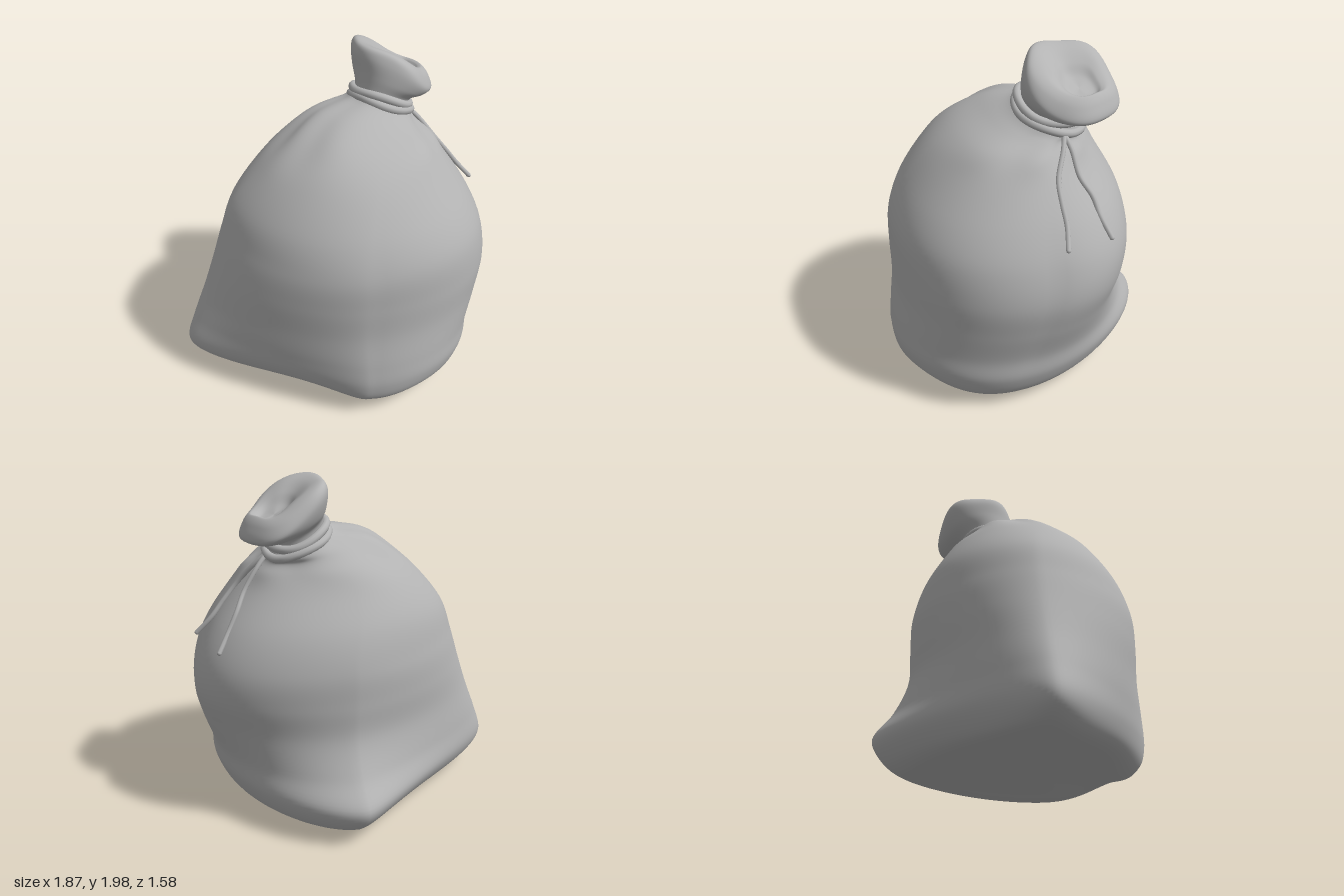
import * as THREE from 'three';

const cloth = new THREE.MeshStandardMaterial({ color: 0xb3b3b3 });
cloth.name = 'grey cloth';

const { lerp, smoothstep } = THREE.MathUtils;
const SEG = 96;

// Cross-sections: height, sideways tilt, left, right, front and back extents
const bodyKeys = [
  [0.09, -0.06, 0.05, 0.05, 0.0, 0.0],
  [0.07, -0.06, -0.45, 0.36, 0.42, -0.42],
  [0.045, -0.06, -0.74, 0.53, 0.63, -0.60],
  [0.11, -0.04, -0.88, 0.71, 0.74, -0.72],
  [0.24, 0, -0.93, 0.80, 0.775, -0.785],
  [0.40, 0, -0.88, 0.82, 0.765, -0.68],
  [0.60, 0, -0.80, 0.88, 0.74, -0.60],
  [0.80, 0, -0.73, 0.92, 0.74, -0.60],
  [1.00, 0, -0.665, 0.89, 0.73, -0.60],
  [1.20, 0, -0.59, 0.80, 0.66, -0.55],
  [1.40, -0.02, -0.42, 0.67, 0.53, -0.44],
  [1.52, -0.08, -0.25, 0.60, 0.40, -0.37],
  [1.60, -0.20, -0.07, 0.54, 0.22, -0.31],
  [1.64, -0.33, 0.13, 0.52, 0.10, -0.29],
  [1.70, -0.36, 0.19, 0.50, 0.06, -0.26],
];
const pouchKeys = [
  [1.66, -0.36, 0.19, 0.50, 0.06, -0.26],
  [1.72, -0.38, 0.20, 0.52, 0.06, -0.28],
  [1.76, -0.50, 0.20, 0.61, 0.08, -0.38],
  [1.82, -0.60, 0.20, 0.67, 0.08, -0.43],
  [1.88, -0.60, 0.23, 0.65, 0.05, -0.41],
  [1.89, -0.55, 0.30, 0.62, -0.01, -0.36],
  [1.86, -0.48, 0.37, 0.60, -0.07, -0.31],
  [1.82, -0.42, 0.42, 0.57, -0.12, -0.27],
  [1.81, -0.40, 0.495, 0.495, -0.195, -0.195],
];

// Smooth interpolation between neighbouring cross-sections
function sampleKeys(keys, t) {
  const n = keys.length - 1;
  const i = Math.min(Math.floor(t), n - 1), f = t - i;
  const a = keys[Math.max(i - 1, 0)], b = keys[i], c = keys[i + 1], d = keys[Math.min(i + 2, n)];
  return b.map((v, k) => {
    const m0 = (c[k] - a[k]) / 2, m1 = (d[k] - v) / 2;
    const f2 = f * f, f3 = f2 * f;
    return (2 * f3 - 3 * f2 + 1) * v + (f3 - 2 * f2 + f) * m0 + (3 * f2 - 2 * f3) * c[k] + (f3 - f2) * m1;
  });
}

// Loft of closed rings; pointAt(key, angle) returns [x, y, z]
function loft(keys, perKey, pointAt) {
  const rows = (keys.length - 1) * perKey;
  const pos = [], idx = [];
  for (let i = 0; i <= rows; i++) {
    const key = sampleKeys(keys, i / perKey);
    for (let j = 0; j < SEG; j++) pos.push(...pointAt(key, (j / SEG) * Math.PI * 2));
  }
  for (let i = 0; i < rows; i++) {
    for (let j = 0; j < SEG; j++) {
      const a = i * SEG + j, b = i * SEG + (j + 1) % SEG;
      idx.push(a, a + SEG, b, b, a + SEG, b + SEG);
    }
  }
  const geo = new THREE.BufferGeometry();
  geo.setAttribute('position', new THREE.Float32BufferAttribute(pos, 3));
  geo.setIndex(idx);
  geo.computeVertexNormals();
  return geo;
}

const spow = (v, e) => Math.sign(v) * Math.pow(Math.abs(v), e);

// Per quarter (front right, front left, back left, back right):
// squareness at the feet and belly, and hem rise between the feet
const footPower = [1.75, 0.85, 0.82, 1.5];
const bellyPower = [2.4, 1.55, 1.65, 2.25];
const hemRise = [0.09, 0.08, 0.04, 0.0];

function bodyPoint([y, tilt, xL, xR, zF, zB], ang) {
  const c = Math.cos(ang), s = Math.sin(ang);
  const quarter = Math.min(3, Math.floor(ang / (Math.PI / 2)));
  const belly = smoothstep(y, 0.12, 1.0);
  const top = smoothstep(y, 1.0, 1.6);
  const p = lerp(lerp(footPower[quarter], bellyPower[quarter], belly), 2, top);
  // corners sit off centre low down and gather around the neck above
  const size = Math.min(1, (xR - xL) / 1.4);
  const low = (1 - top) * size;
  const midX = lerp((xL + xR) / 2, 0.05, low), midZ = lerp((zF + zB) / 2, 0, low);
  const cx = lerp(midX, s > 0 ? 0 : 0.2, low);
  const cz = lerp(midZ, c > 0 ? lerp(0.23, 0.1, belly) : -0.04, low);
  const u = spow(c, 2 / p), v = spow(s, 2 / p);
  const ax = Math.abs(u), az = Math.abs(v);
  // each foot is rounded by a fixed radius
  const r = 0.34 * low;
  const reachX = Math.abs((c > 0 ? xR : xL) - midX) - r;
  const reachZ = Math.abs((s > 0 ? zF : zB) - midZ) - r;
  // gathered folds below the neck
  const fold = 1 + 0.03 * Math.exp(-(((y - 1.56) / 0.1) ** 2)) * Math.sin(7 * ang + 1.5 * Math.sin(2 * ang));
  const x = midX + fold * (c * r + u * reachX + az * (cx - midX));
  const z = midZ + fold * (s * r + v * reachZ + ax * (cz - midZ));
  // hem arches between the feet; front and back feet sit a little higher
  const arch = hemRise[quarter] * Math.sin(2 * ang) ** 2 * s * s;
  const hem = size * Math.exp(-((y / 0.28) ** 2)) * (arch + 0.025 * s * s);
  return [x, y + hem + tilt * (x - midX) - 0.5 * tilt * (z - midZ) * top, z];
}

function pouchPoint([y, tilt, xL, xR, zF, zB], ang) {
  const mx = (xL + xR) / 2, mz = (zF + zB) / 2;
  const open = smoothstep(y, 1.72, 1.86);
  const wave = 1 + 0.03 * open * Math.sin(5 * ang + 0.6);
  const x = mx + Math.cos(ang) * wave * (xR - xL) / 2;
  const z = mz + Math.sin(ang) * wave * (zF - zB) / 2;
  const ripple = 0.035 * open * (xR - xL) * Math.sin(3 * ang + 2);
  return [x, y + ripple + tilt * (x - mx) - 0.18 * tilt * (z - mz), z];
}

// Cord loop tied around the tilted neck
function cordLoop(y, r, phase) {
  const pts = [];
  for (let i = 0; i < 20; i++) {
    const a = (i / 20) * Math.PI * 2;
    const dx = Math.cos(a) * r, dz = Math.sin(a) * r * 1.08;
    pts.push(new THREE.Vector3(0.345 + dx, y - 0.38 * dx + 0.18 * dz + 0.007 * Math.sin(3 * a + phase), -0.1 + dz));
  }
  return new THREE.TubeGeometry(new THREE.CatmullRomCurve3(pts, true), 96, 0.024, 10, true);
}

// Loose cord end with a closed tip
function cordEnd(points) {
  const group = new THREE.Group();
  const curve = new THREE.CatmullRomCurve3(points.map((p) => new THREE.Vector3(...p)));
  const strand = new THREE.Mesh(new THREE.TubeGeometry(curve, 40, 0.014, 8), cloth);
  strand.name = 'cordStrand';
  const tip = new THREE.Mesh(new THREE.SphereGeometry(0.014, 8, 6), cloth);
  tip.name = 'cordTip';
  tip.position.copy(curve.getPoint(1));
  group.add(strand, tip);
  return group;
}

export function createModel() {
  const model = new THREE.Group();
  model.name = 'tiedSack';
  const add = (name, obj) => {
    const part = obj.isBufferGeometry ? new THREE.Mesh(obj, cloth) : obj;
    part.name = name;
    model.add(part);
  };

  add('sackBody', loft(bodyKeys, 7, bodyPoint));
  add('sackMouth', loft(pouchKeys, 7, pouchPoint));
  add('lowerCordLoop', cordLoop(1.65, 0.174, 0));
  add('upperCordLoop', cordLoop(1.69, 0.163, 2));
  add('frontCordEnd', cordEnd([
    [0.51, 1.59, -0.11], [0.58, 1.52, -0.07], [0.67, 1.4, 0.0], [0.75, 1.3, 0.015],
    [0.82, 1.21, 0.02], [0.9, 1.12, 0.05],
  ]));
  add('backCordEnd', cordEnd([
    [0.51, 1.59, -0.1], [0.58, 1.51, -0.12], [0.66, 1.39, -0.13], [0.72, 1.29, -0.18],
    [0.77, 1.2, -0.2], [0.84, 1.09, -0.24],
  ]));
  return model;
}
